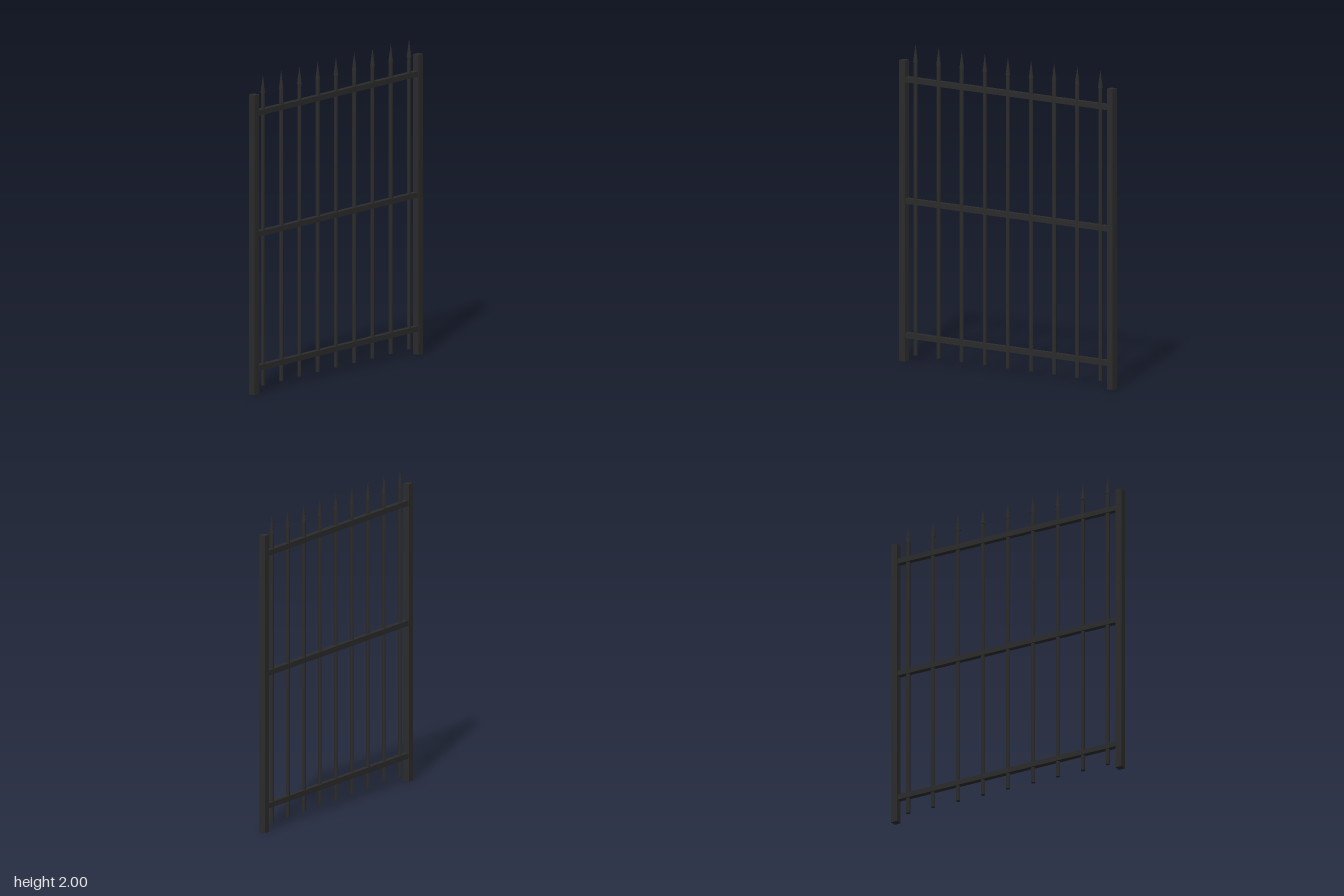
import * as THREE from 'three';

export function createModel() {
  const model = new THREE.Group();
  model.name = 'ironGate';
  const iron = new THREE.MeshStandardMaterial({ color: 0x2b2b2b, flatShading: true });
  iron.name = 'dark iron';

  const add = (name, geometry, x, y) => {
    const mesh = new THREE.Mesh(geometry, iron);
    mesh.name = name;
    mesh.position.set(x, y, 0);
    model.add(mesh);
  };

  // Square end posts
  const postHeight = 1.89;
  const post = new THREE.BoxGeometry(0.044, postHeight, 0.044);
  add('leftPost', post, 0.8, postHeight / 2);
  add('rightPost', post, -0.8, postHeight / 2);

  // Horizontal rails between the posts
  const rail = new THREE.BoxGeometry(1.6, 0.034, 0.034);
  add('bottomRail', rail, 0, 0.163);
  add('middleRail', rail, 0, 1.007);
  add('topRail', rail, 0, 1.77);

  // Upright bars, each with a pointed spike
  const barBottom = 0.044, spikeBottom = 1.885, top = 2;
  const bar = new THREE.CylinderGeometry(0.0133, 0.0133, spikeBottom - barBottom, 8);
  const spike = new THREE.ConeGeometry(0.0155, top - spikeBottom, 8);
  for (let i = -4; i <= 4; i++) {
    const x = i * 0.178;
    add('bar', bar, x, (barBottom + spikeBottom) / 2);
    add('spike', spike, x, (spikeBottom + top) / 2);
  }
  return model;
}
